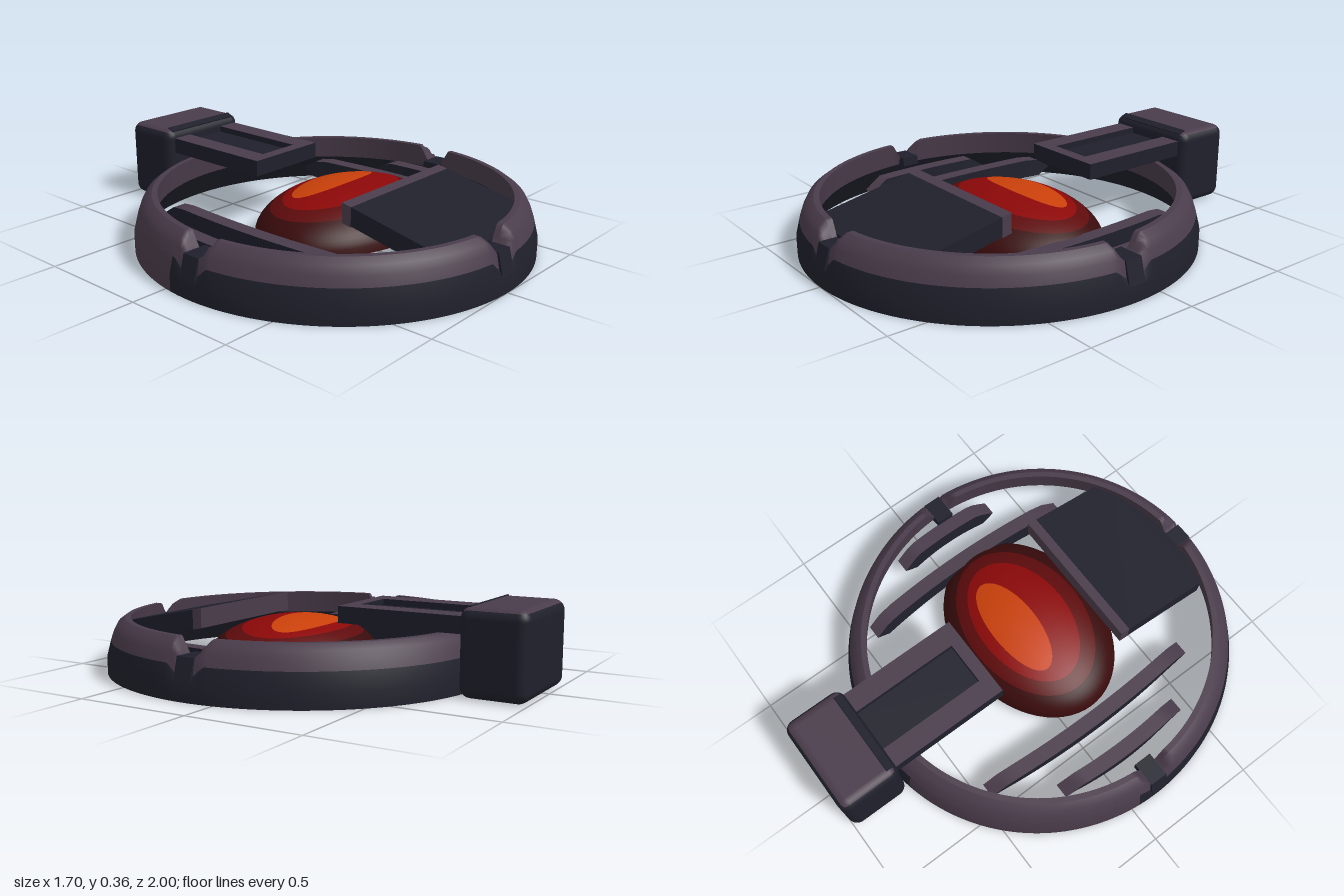
import * as THREE from 'three';
import { RoundedBoxGeometry } from 'three/addons/geometries/RoundedBoxGeometry.js';

const mat = (name, color) => {
  const m = new THREE.MeshStandardMaterial({ color, side: THREE.DoubleSide });
  m.name = name;
  return m;
};

export function createModel() {
  const root = new THREE.Group();
  root.name = 'device';
  const plum = mat('plum', 0x4a3c4b);
  const slate = mat('slate', 0x1f202b);
  const maroon = mat('maroon', 0x390b0c);
  const crimson = mat('crimson', 0x5e0b0c);
  const red = mat('red', 0x8c0808);
  const orange = mat('orange', 0xc9400a);

  const add = (name, geometry, material, x = 0, y = 0, z = 0, parent = root) => {
    const mesh = new THREE.Mesh(geometry, material);
    mesh.name = name;
    mesh.position.set(x, y, z);
    parent.add(mesh);
    return mesh;
  };
  const RING_Z = 0.135, Z_RATIO = 0.865 / 0.85;
  const notches = [0, Math.PI / 2, 3 * Math.PI / 2];

  // Ring: swept profile strips, cut down to a funnel at each notch
  const ring = new THREE.Group();
  ring.name = 'ring';
  ring.position.z = RING_Z;
  root.add(ring);

  const notchLimit = (angle, y) => {
    for (const n of notches) {
      const s = Math.abs(Math.atan2(Math.sin(angle - n), Math.cos(angle - n))) * 0.82;
      const rise = Math.max(0, s - 0.04);
      if (s < 0.09) return y < 0.141 ? 0.1 + rise * 0.9 : 0.165 + rise * 1.55;
    }
    return 1;
  };
  const strip = (name, profile, material, from = 0, to = Math.PI * 2) => {
    const segments = Math.round((to - from) * 60);
    const g = new THREE.LatheGeometry(profile.map(([r, y]) => new THREE.Vector2(r, y)), segments, from, to - from);
    const p = g.attributes.position;
    for (let i = 0; i < p.count; i++) {
      const x = p.getX(i), y = p.getY(i), z = p.getZ(i);
      const outside = Math.hypot(x, z) > 0.8;
      p.setY(i, Math.min(y, notchLimit(Math.atan2(x, z), outside ? y : 1)));
      p.setZ(i, z * Z_RATIO);
    }
    g.computeVertexNormals();
    add(name, g, material, 0, 0, 0, ring);
  };
  const wall = [[0.85, 0], [0.85, 0.07], [0.832, 0.14]];
  const plumFrom = Math.PI + 0.22, plumTo = 1.5 * Math.PI - 0.12;
  strip('ringUnderside', [[0.76, 0.13], [0.85, 0]], slate);
  strip('ringWall', wall, slate, plumTo - Math.PI * 2, plumFrom);
  strip('ringWallBack', wall, plum, plumFrom, plumTo);
  strip('ringBevel', [[0.832, 0.14], [0.818, 0.18], [0.8, 0.213], [0.77, 0.235]], plum);
  strip('ringTop', [[0.77, 0.235], [0.746, 0.235]], plum);
  strip('ringInside', [[0.746, 0.235], [0.76, 0.13]], plum);

  // Dark lugs seated in the notches, sloping down to the outside
  const lugProfile = [[0.848, 0.08], [0.842, 0.102], [0.824, 0.17], [0.715, 0.17], [0.715, 0.13], [0.775, 0.115]];
  const lugShape = new THREE.Shape(lugProfile.map(([r, y]) => new THREE.Vector2(r, y)));
  for (const angle of notches) {
    const g = new THREE.ExtrudeGeometry(lugShape, { depth: 0.08, bevelEnabled: false });
    g.translate(0, 0, -0.04);
    const lug = add('notchLug', g, slate, 0, 0, angle === 0 ? 0.014 : 0, ring);
    lug.rotation.y = angle - Math.PI / 2;
  }

  // Core: open ellipsoid dome in four coloured bands, whose centres drift backwards
  const core = new THREE.Group();
  core.name = 'core';
  core.position.x = 0.083;
  root.add(core);
  const RX = 0.462, RZ = 0.342, CZ = 0.138;
  // [rx, rz, centre z]
  const edges = [[RX, RZ, CZ], [0.38, 0.262, 0.118], [0.317, 0.2, 0.107], [0.245, 0.1, 0.055], [0, 0, 0.055]];
  const domeBand = (a, b, material, name) => {
    const pos = [], idx = [], N = 64, M = 8;
    for (let j = 0; j <= M; j++) {
      const [rx, rz, cz] = a.map((v, k) => THREE.MathUtils.lerp(v, b[k], (j / M) ** 1.5));
      for (let i = 0; i <= N; i++) {
        const t = (i / N) * Math.PI * 2;
        const x = Math.sin(t) * rx, z = cz + Math.cos(t) * rz;
        const y = 0.05 + 0.188 * Math.sqrt(Math.max(0, 1 - (x / RX) ** 2 - ((z - CZ) / RZ) ** 2));
        pos.push(x, y, z);
        if (i < N && j < M) {
          const q = j * (N + 1) + i, r = q + N + 1;
          idx.push(q, q + 1, r + 1, q, r + 1, r);
        }
      }
    }
    const g = new THREE.BufferGeometry();
    g.setAttribute('position', new THREE.Float32BufferAttribute(pos, 3));
    g.setIndex(idx);
    g.computeVertexNormals();
    add(name, g, material, 0, 0, 0, core);
  };
  [maroon, crimson, red, orange].forEach((m, i) => domeBand(edges[i], edges[i + 1], m, m.name + 'CoreBand'));

  // Side slats: bowed bars with chamfered tops and undercut ends
  const slat = (name, x, bow, z0, z1) => {
    const length = z1 - z0;
    const g = new THREE.BoxGeometry(0.065, 0.085, length, 1, 1, 16);
    const p = g.attributes.position;
    for (let i = 0; i < p.count; i++) {
      const z = p.getZ(i), t = z / (length / 2);
      p.setX(i, p.getX(i) + bow * (1 - t * t));
      if (p.getY(i) < 0) p.setZ(i, z * (1 - 0.12 / length));
      else p.setY(i, p.getY(i) - 0.05 * Math.max(0, 1 - (length / 2 - Math.abs(z)) / 0.08));
    }
    g.computeVertexNormals();
    add(name, g, [slate, slate, plum, slate, plum, plum], x, 0.098, (z0 + z1) / 2);
  };
  slat('longSlatRight', -0.415, -0.03, -0.46, 0.62);
  slat('shortSlatRight', -0.605, -0.022, -0.21, 0.43);
  slat('longSlatLeft', 0.475, 0.035, -0.44, 0.61);
  slat('shortSlatLeft', 0.67, 0.016, -0.15, 0.35);

  // Front plate: sloping slab whose front edge follows the ring
  const slope = (g) => {
    g.rotateX(Math.PI / 2);
    const p = g.attributes.position;
    for (let i = 0; i < p.count; i++) p.setY(i, p.getY(i) + 0.285 - (p.getZ(i) - 0.385) * 0.2);
    g.computeVertexNormals();
    return g;
  };
  const rect = (Type, x0, x1, z0, z1) => new Type([[x0, z0], [x1, z0], [x1, z1], [x0, z1]].map(([x, z]) => new THREE.Vector2(x, z)));
  const plate = new THREE.Shape();
  plate.moveTo(-0.25, 0.43);
  plate.lineTo(0.412, 0.43);
  for (let i = 0; i <= 16; i++) {
    const x = 0.412 - (0.662 * i) / 16;
    plate.lineTo(x, 0.15 + Math.sqrt(0.745 ** 2 - x * x));
  }
  plate.closePath();
  const edge = rect(THREE.Shape, -0.25, 0.412, 0.385, 0.43);
  add('frontPlate', slope(new THREE.ExtrudeGeometry(plate, { depth: 0.08, bevelEnabled: false })), slate);
  add('frontPlateEdge', slope(new THREE.ExtrudeGeometry(edge, { depth: 0.085, bevelEnabled: false })), plum);

  // Arm: framed bar with a recessed panel
  const frame = rect(THREE.Shape, -0.153, 0.232, -0.74, -0.18);
  frame.holes.push(rect(THREE.Path, -0.06, 0.137, -0.735, -0.235));
  const frameGeometry = new THREE.ExtrudeGeometry(frame, { depth: 0.07, bevelEnabled: false });
  frameGeometry.rotateX(Math.PI / 2);
  add('armFrame', frameGeometry, [plum, slate], 0, 0.315, 0);
  add('armPanel', new THREE.BoxGeometry(0.2, 0.04, 0.505), slate, 0.0385, 0.268, -0.4875);

  // Rear block with a dark strip on its front bevel
  add('rearBlock', new RoundedBoxGeometry(0.455, 0.355, 0.28, 4, 0.045),
    [slate, slate, plum, slate, slate, slate], 0.0375, 0.1775, -0.86);
  const bevelStrip = add('rearBlockStrip', new THREE.BoxGeometry(0.385, 0.006, 0.034), slate, 0.0375, 0.351, -0.748);
  bevelStrip.rotation.x = Math.PI / 8;

  return root;
}
